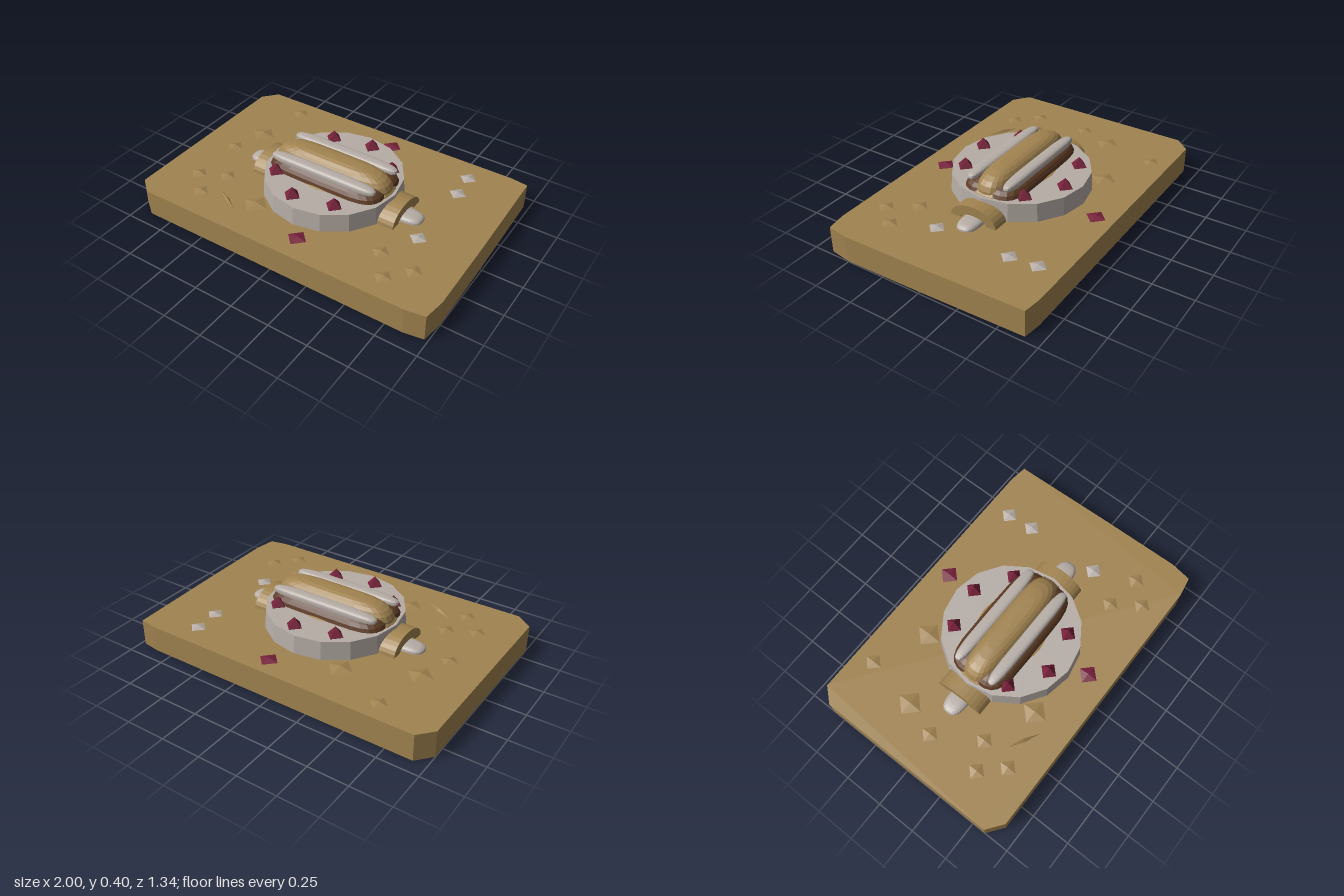
import * as THREE from 'three';

const mat = (name, color) => {
  const m = new THREE.MeshStandardMaterial({ color });
  m.name = name;
  return m;
};

export function createModel() {
  const group = new THREE.Group();
  const crust = mat('tan crust', 0xa18350);
  const cream = mat('pale cream', 0xb6ada6);
  const cocoa = mat('cocoa brown', 0x5e3b24);
  const berry = mat('berry red', 0x76203a);

  // Faceted mesh helper
  const add = (name, geo, material, x = 0, y = 0, z = 0) => {
    const g = geo.index ? geo.toNonIndexed() : geo;
    g.computeVertexNormals();
    const mesh = new THREE.Mesh(g, material);
    mesh.name = name;
    mesh.position.set(x, y, z);
    group.add(mesh);
    return mesh;
  };

  // Rounded loaf: a sphere squared off by a power (1 = ellipsoid, lower = boxier)
  const loaf = (rx, ry, rz, px, py = px, pz = px) => {
    const g = new THREE.SphereGeometry(1, 24, 14);
    const p = g.attributes.position;
    const pow = (v, e) => Math.sign(v) * Math.abs(v) ** e;
    for (let i = 0; i < p.count; i++) {
      p.setXYZ(i, rx * pow(p.getX(i), px), ry * pow(p.getY(i), py), rz * pow(p.getZ(i), pz));
    }
    return g;
  };

  // Board with uneven clipped corners
  const outline = [[-1, -0.58], [-0.92, -0.67], [0.86, -0.67], [0.97, -0.655], [0.99, 0],
    [1, 0.5], [0.98, 0.635], [0.86, 0.655], [-0.9, 0.665], [-1, 0.59]];
  const boardShape = new THREE.Shape(outline.map(([x, z]) => new THREE.Vector2(x, -z)));
  const boardGeo = new THREE.ExtrudeGeometry(boardShape, { depth: 0.167, bevelEnabled: false });
  boardGeo.rotateX(-Math.PI / 2);
  add('board', boardGeo, crust, 0, 0.003, 0);

  // Stain under the board
  const stain = new THREE.CylinderGeometry(1, 1, 0.004, 16);
  stain.scale(0.32, 1, 0.17);
  add('stain', stain, cocoa, 0, 0.002, 0);

  // Round cream base
  add('creamBase', new THREE.CylinderGeometry(0.42, 0.428, 0.118, 16), cream, 0, 0.227, 0);

  // Layered pastry
  add('lowerBun', loaf(0.26, 0.06, 0.245, 1), crust, 0, 0.255, 0);
  add('filling', loaf(0.395, 0.13, 0.2, 0.4, 0.55, 0.5), cocoa, 0, 0.225, 0);
  add('bunEnds', loaf(0.418, 0.15, 0.13, 0.45, 0.7, 0.6), crust, 0, 0.205, 0);
  add('bunTop', loaf(0.395, 0.135, 0.107, 0.45, 0.75, 0.75), crust, 0, 0.267, 0);
  for (const s of [-1, 1]) {
    add('creamStripe', loaf(0.36, 0.03, 0.04, 0.4, 0.7, 0.7), cream, 0, 0.345, s * 0.122);
  }

  // Arched handles with cream lumps poking through
  const arch = new THREE.Shape();
  arch.moveTo(0.155, 0);
  arch.absellipse(0, 0, 0.155, 0.097, 0, Math.PI, false);
  arch.lineTo(-0.09, 0);
  arch.absellipse(0, 0, 0.09, 0.04, Math.PI, 0, true);
  for (const s of [-1, 1]) {
    const g = new THREE.ExtrudeGeometry(arch, { depth: 0.12, bevelEnabled: false, curveSegments: 7 });
    g.translate(0, 0, -0.06);
    g.rotateY(Math.PI / 2);
    add('archHandle', g, crust, s * 0.44, 0.168, 0);
    add('creamLump', loaf(0.12, 0.035, 0.065, 0.7), cream, s * 0.49, 0.168, 0);
  }

  // Diamond-shaped berries and crumbs
  const diamond = (name, material, r, h, y, spots) => {
    for (const [x, z] of spots) {
      const g = new THREE.OctahedronGeometry(1);
      g.scale(r, h, r);
      add(name, g, material, x, y, z);
    }
  };
  diamond('berry', berry, 0.053, 0.058, 0.287,
    [[-0.19, -0.285], [0.06, -0.335], [0.28, -0.2], [-0.285, 0.195], [-0.07, 0.33], [0.185, 0.28]]);
  diamond('fallenBerry', berry, 0.062, 0.016, 0.17, [[0.08, -0.555], [0.09, 0.51]]);
  diamond('creamCrumb', cream, 0.054, 0.014, 0.17, [[0.64, -0.52], [0.655, -0.35], [0.655, 0.135]]);
  diamond('crustCrumb', crust, 0.055, 0.014, 0.17,
    [[-0.64, -0.55], [-0.77, 0], [-0.77, 0.35], [-0.605, 0.275], [-0.645, 0.48],
      [0.65, 0.51], [0.765, 0.385], [0.54, 0.35]]);
  diamond('largeCrumb', crust, 0.08, 0.018, 0.17, [[-0.7, -0.21], [-0.3, -0.4], [-0.29, 0.4]]);

  // Thin raised splinter
  const splinter = new THREE.OctahedronGeometry(1);
  splinter.scale(0.105, 0.016, 0.012);
  add('splinter', splinter, crust, -0.46, 0.17, 0.455).rotation.y = -0.5;

  return group;
}
